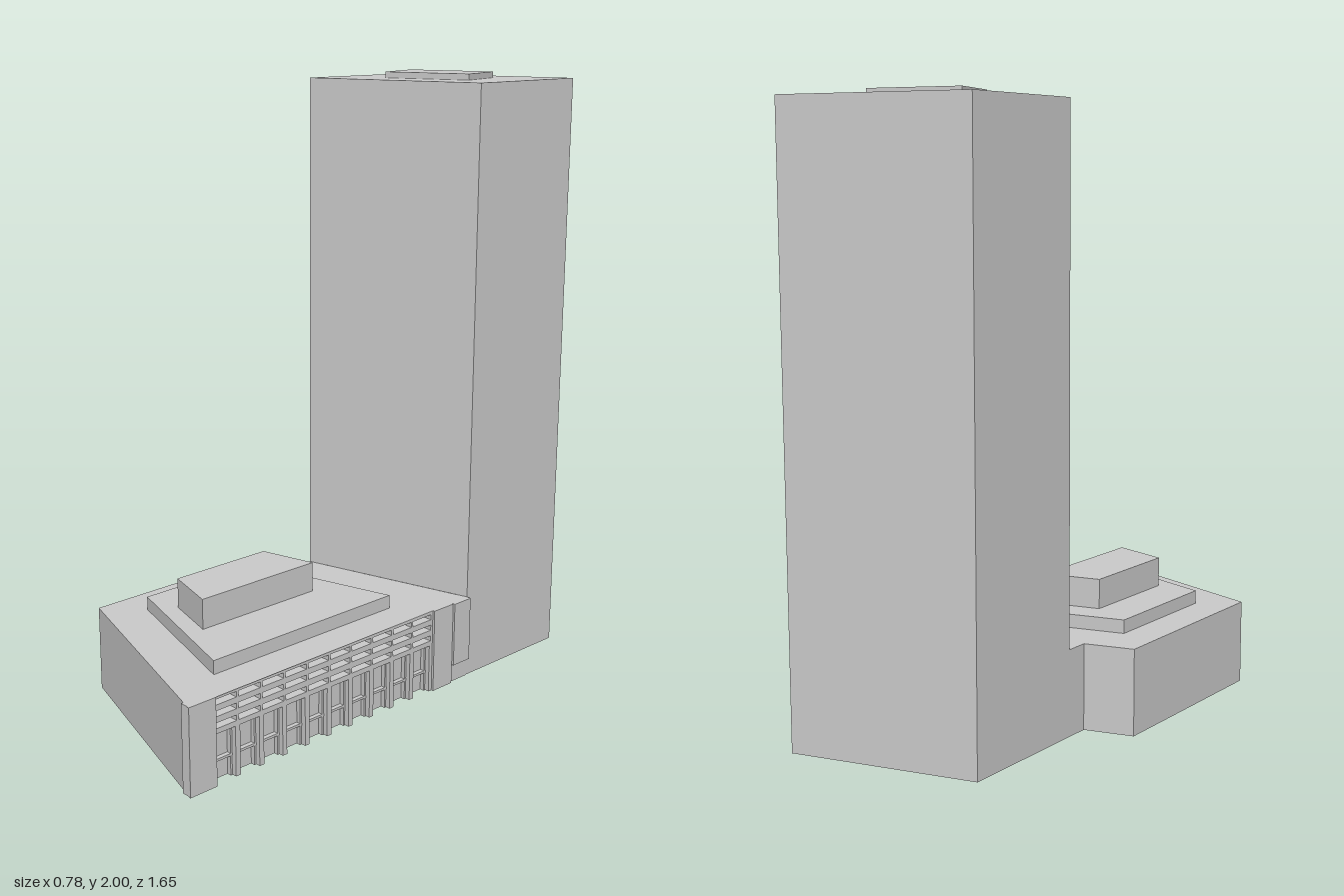
import * as THREE from 'three';

const material = new THREE.MeshStandardMaterial({ color: 0xcccccc, flatShading: true, side: THREE.DoubleSide });

function add(group, name, geometry, x = 0, y = 0, z = 0) {
  const mesh = new THREE.Mesh(geometry, material);
  mesh.name = name;
  mesh.position.set(x, y, z);
  group.add(mesh);
  return mesh;
}

// Flat outline [x, z], counterclockwise from above
const outline = (pts) => pts.map(([x, z]) => new THREE.Vector2(x, -z));

// Hollow block without a floor; bases[i] is the lower height of wall i, null leaves it out
function shell(parent, name, pts, bases, top, hole) {
  const group = new THREE.Group();
  group.name = name;
  const pos = [];
  pts.forEach(([ax, az], i) => {
    const y = Array.isArray(bases) ? bases[i] : bases;
    if (y === null) return;
    const [bx, bz] = pts[(i + 1) % pts.length];
    pos.push(ax, y, az, bx, y, bz, bx, top, bz, ax, y, az, bx, top, bz, ax, top, az);
  });
  const walls = new THREE.BufferGeometry();
  walls.setAttribute('position', new THREE.Float32BufferAttribute(pos, 3));
  walls.computeVertexNormals();
  add(group, name + 'Walls', walls);
  const shape = new THREE.Shape(outline(pts));
  if (hole) shape.holes.push(new THREE.Path(outline(hole)));
  add(group, name + 'Roof', new THREE.ShapeGeometry(shape).rotateX(-Math.PI / 2), 0, top, 0);
  parent.add(group);
}

function rectHole(x0, y0, x1, y1) {
  return new THREE.Path([[x0, y0], [x0, y1], [x1, y1], [x1, y0]].map((p) => new THREE.Vector2(...p)));
}

// Side facade with tall ground bays and three rows of narrow windows
function buildFacade(parent) {
  const group = new THREE.Group();
  group.name = 'sideFacade';
  const face = 0.372, depth = 0.03, back = face - depth;
  const bays = 10, start = -0.73, pitch = 0.0925, gap = 0.009;
  const shape = new THREE.Shape();
  shape.moveTo(-0.822, 0);
  const holes = [];
  for (let i = 0; i < bays; i++) {
    const u0 = start + i * pitch + gap, u1 = start + (i + 1) * pitch - gap;
    shape.lineTo(u0, 0).lineTo(u0, 0.163).lineTo(u1, 0.163).lineTo(u1, 0);
    for (const y of [0.18, 0.218, 0.255]) holes.push(rectHole(u0 - 0.005, y, u1 + 0.005, y + 0.018));
    add(group, 'transom', new THREE.BoxGeometry(0.015, 0.008, u1 - u0), back + 0.0075, 0.068, -(u0 + u1) / 2);
    for (const u of [u0 + 0.005, u1 - 0.005]) {
      add(group, 'bayFrame', new THREE.BoxGeometry(0.015, 0.163, 0.006), back + 0.0075, 0.0815, -u);
    }
  }
  shape.lineTo(0.37, 0).lineTo(0.37, 0.285).lineTo(-0.822, 0.285);
  shape.holes.push(...holes);
  const wall = new THREE.ExtrudeGeometry(shape, { depth, bevelEnabled: false });
  add(group, 'facadeWall', wall.rotateY(Math.PI / 2), back, 0, 0);
  add(group, 'glazing', new THREE.PlaneGeometry(0.94, 0.285).rotateY(Math.PI / 2), back, 0.1425, 0.265);
  // Raised end piers and the panel over the side entrance
  add(group, 'frontPier', new THREE.BoxGeometry(0.008, 0.285, 0.1), face + 0.004, 0.1425, 0.774);
  add(group, 'rearPier', new THREE.BoxGeometry(0.008, 0.285, 0.09), face + 0.004, 0.1425, -0.245);
  add(group, 'entrancePanel', new THREE.BoxGeometry(0.014, 0.22, 0.078), face + 0.007, 0.175, -0.331);
  parent.add(group);
}

export function createModel() {
  const model = new THREE.Group();
  model.name = 'towerWithPodium';
  const roofY = 0.285;

  // Tall slab tower, open to the podium at its foot
  shell(model, 'tower', [[-0.23, -0.205], [0.37, -0.37], [0.37, -0.825], [-0.23, -0.66]], [roofY, 0, 0, 0], 1.98);
  shell(model, 'towerPlantRoom', [[-0.05, -0.375], [0.24, -0.46], [0.185, -0.64], [-0.105, -0.555]], 1.98, 2);

  // Low podium with two stepped roof blocks
  const tier = [[-0.27, 0.485], [0.26, 0.635], [0.26, -0.11], [-0.27, 0.04]];
  shell(model, 'podium',
    [[-0.39, 0.595], [0.38, 0.825], [0.372, -0.37], [-0.23, -0.205], [-0.23, -0.127], [-0.39, -0.08]],
    [0, null, null, 0, 0, 0], roofY, tier);
  shell(model, 'lowerRoofBlock', tier, roofY, 0.33);
  shell(model, 'upperRoofBlock', [[-0.13, 0.465], [0.06, 0.515], [0.06, 0.05], [-0.13, 0.1]], 0.33, 0.43);

  buildFacade(model);
  return model;
}
